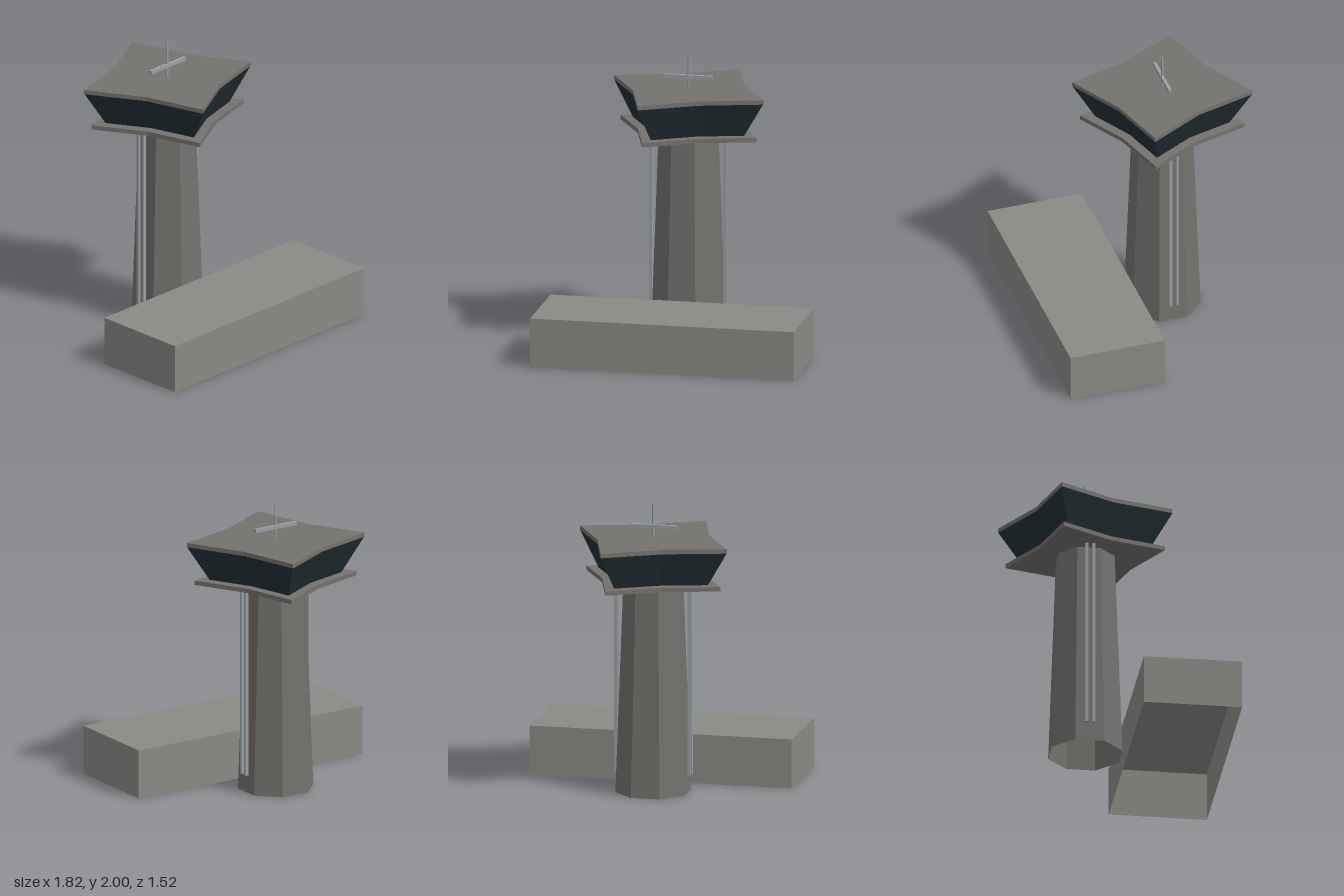
import * as THREE from 'three';

const paint = (color) => new THREE.MeshStandardMaterial({ color, flatShading: true, side: THREE.DoubleSide });
const hallGrey = paint(0x8a8a86);
const concrete = paint(0x74726f);
const glass = paint(0x223034);
const metal = paint(0x9aa0a4);

function add(parent, name, geometry, material, x, y, z) {
  const mesh = new THREE.Mesh(geometry, material);
  mesh.name = name;
  mesh.position.set(x, y, z);
  parent.add(mesh);
  return mesh;
}

// Eight-sided prism whose alternate corners are drawn in to make a four-pointed star
function starPrism(topRadius, bottomRadius, height) {
  const geometry = new THREE.CylinderGeometry(topRadius, bottomRadius, height, 8, 1, false, Math.PI / 8);
  const p = geometry.attributes.position;
  for (let i = 0; i < p.count; i++) {
    const x = p.getX(i), z = p.getZ(i);
    if (Math.hypot(x, z) > 0.01 && Math.sin(4 * Math.atan2(z, x)) < 0) {
      p.setX(i, x * 0.626);
      p.setZ(i, z * 0.626);
    }
  }
  const flat = geometry.toNonIndexed();
  flat.computeVertexNormals();
  return flat;
}

// Box without its underside
function openBox(w, h, d) {
  const geometry = new THREE.BoxGeometry(w, h, d);
  const index = Array.from(geometry.index.array);
  index.splice(18, 6);
  geometry.setIndex(index);
  geometry.clearGroups();
  return geometry;
}

export function createModel() {
  const model = new THREE.Group();
  model.name = 'controlTower';

  // Low hall in front of the tower
  add(model, 'baseBuilding', openBox(1.82, 0.34, 0.67), hallGrey, 0, 0.17, 0.425);

  const tower = new THREE.Group();
  tower.name = 'tower';
  tower.position.set(-0.015, 0, -0.192);
  model.add(tower);

  // Tapered octagonal shaft, open at the foot
  const shaft = new THREE.CylinderGeometry(0.206, 0.26, 1.46, 8, 1, true, Math.PI / 8);
  add(tower, 'shaft', shaft, concrete, 0, 0.73, 0);

  // Star-shaped deck, flared glazed cabin and roof
  add(tower, 'deck', starPrism(0.558, 0.558, 0.03), concrete, 0, 1.475, 0);
  add(tower, 'cabin', starPrism(0.61, 0.455, 0.24), glass, 0, 1.61, 0);
  add(tower, 'roof', starPrism(0.612, 0.612, 0.03), concrete, 0, 1.745, 0);

  // A pair of pipes down each side of the shaft
  for (const side of [-1, 1]) {
    for (const end of [-1, 1]) {
      add(tower, 'sidePipe', new THREE.BoxGeometry(0.022, 1.335, 0.02), metal, side * 0.255, 0.795, end * 0.024);
    }
  }

  // Mast with its crossbar
  add(tower, 'mast', new THREE.CylinderGeometry(0.008, 0.008, 0.25, 6), metal, 0, 1.875, 0);
  add(tower, 'crossbar', new THREE.BoxGeometry(0.335, 0.025, 0.023), metal, 0, 1.837, 0);

  return model;
}
